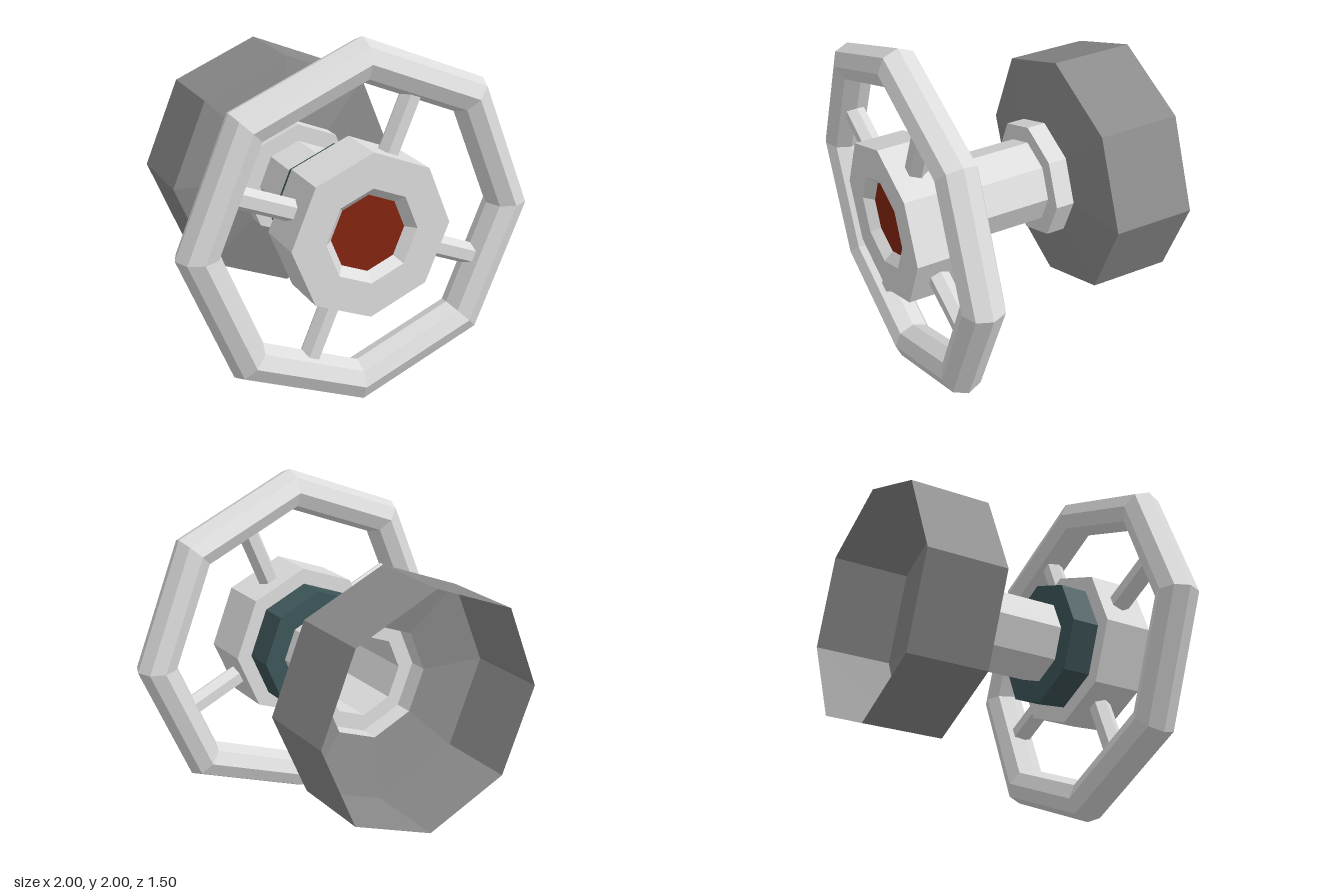
import * as THREE from 'three';

const material = (name, color) => {
  const m = new THREE.MeshStandardMaterial({ color, flatShading: true, side: THREE.DoubleSide });
  m.name = name;
  return m;
};

export function createModel() {
  const steel = material('light steel', 0xdcdcdc);
  const iron = material('dark iron', 0x8a8a8a);
  const teal = material('dark teal', 0x3d5558);
  const red = material('deep red', 0x84240f);

  const model = new THREE.Group();
  model.name = 'valveWheel';
  const valve = new THREE.Group();
  valve.name = 'valve';
  valve.position.y = 1;
  model.add(valve);

  const add = (name, geometry, mat, parent = valve) => {
    const mesh = new THREE.Mesh(geometry, mat);
    mesh.name = name;
    parent.add(mesh);
    return mesh;
  };
  // Octagonal part turned about the z axis, from [radius, z] pairs
  const turned = (name, profile, mat) => {
    const points = profile.map(([r, z]) => new THREE.Vector2(r, z));
    return add(name, new THREE.LatheGeometry(points, 8).rotateX(Math.PI / 2), mat);
  };

  // Hollow wall socket, open at the back
  turned('socket', [[0.685, -0.75], [0.685, -0.295], [0.33, -0.235]], iron);

  // Collar stepping down to the hollow stem
  turned('stem', [[0.33, -0.235], [0.33, -0.13], [0.235, -0.13], [0.235, 0.47]], steel);

  // Gasket behind the hub
  turned('gasket', [[0.235, 0.31], [0.36, 0.31], [0.36, 0.47]], teal);

  // Hub with a bevelled recess and red centre
  turned('hub', [[0, 0.47], [0.45, 0.47], [0.45, 0.75], [0.26, 0.75], [0.21, 0.7]], steel);
  const centre = add('hubCentre', new THREE.CircleGeometry(0.21, 8), red);
  centre.position.z = 0.7;

  // Hand wheel rim
  const rim = add('rim', new THREE.TorusGeometry(0.885, 0.115, 8, 8), steel);
  rim.position.z = 0.605;

  // Four spokes meeting the middles of the rim sides
  for (let i = 0; i < 4; i++) {
    const spoke = new THREE.Group();
    spoke.name = 'spoke' + (i + 1);
    spoke.position.z = 0.605;
    spoke.rotation.z = -Math.PI / 8 + i * Math.PI / 2;
    const rod = add('spokeRod', new THREE.CylinderGeometry(0.06, 0.06, 0.38, 6).rotateY(Math.PI / 6), steel, spoke);
    rod.position.y = 0.56;
    valve.add(spoke);
  }
  return model;
}
